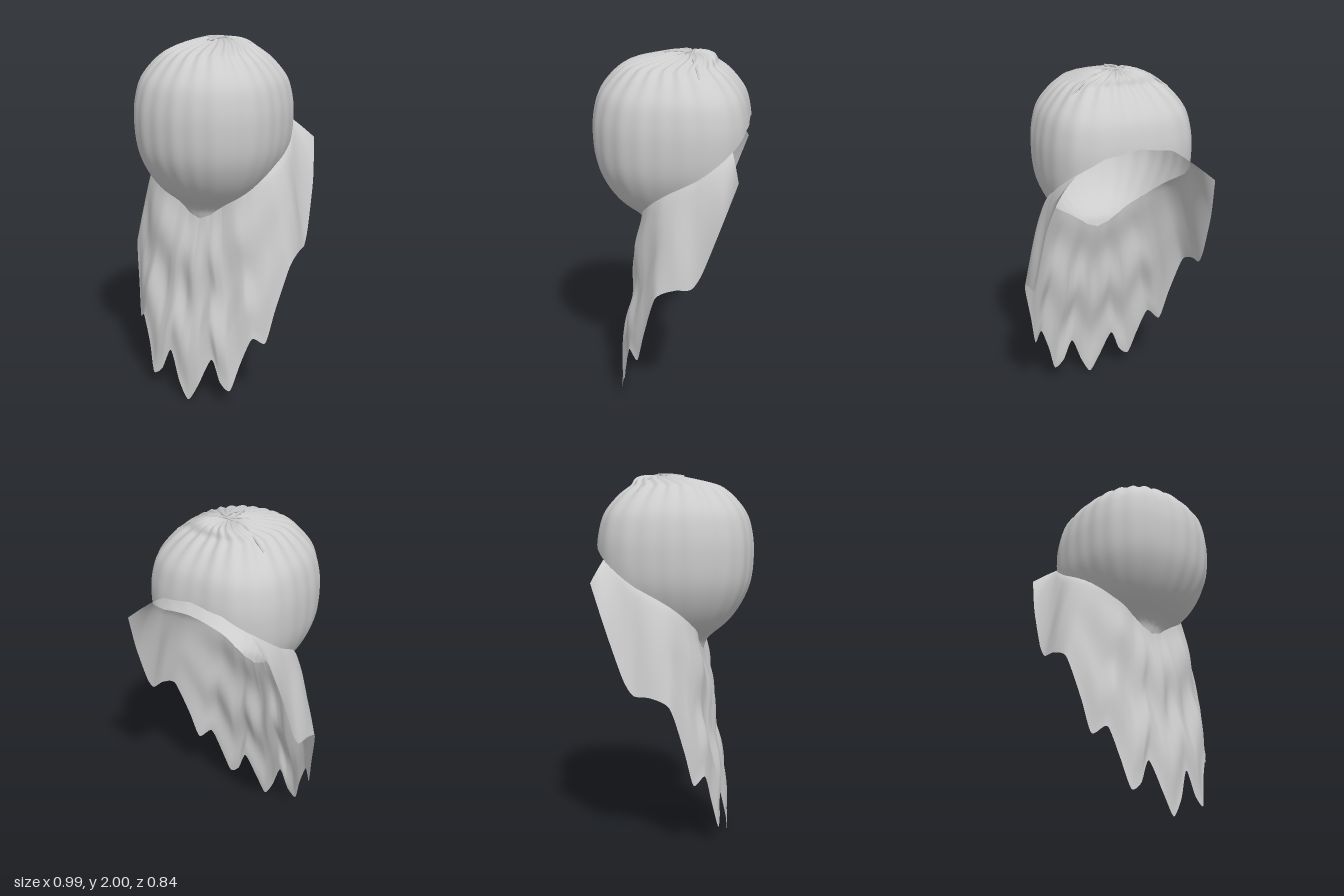
import * as THREE from 'three';

const V = (x, y, z) => new THREE.Vector3(x, y, z);
const { lerp, smoothstep } = THREE.MathUtils;
const rad = THREE.MathUtils.degToRad;

// Surface over a grid; fn(u, v) gives a point, u runs around and v runs down
function surface(nu, nv, closed, fn) {
  const pos = [], index = [];
  const cols = closed ? nu : nu + 1;
  for (let j = 0; j <= nv; j++) {
    for (let i = 0; i < cols; i++) pos.push(...fn(i / nu, j / nv).toArray());
  }
  for (let j = 0; j < nv; j++) {
    for (let i = 0; i < nu; i++) {
      const a = j * cols + i, b = j * cols + (i + 1) % cols;
      const c = a + cols, d = b + cols;
      index.push(a, c, b, b, c, d);
    }
  }
  const g = new THREE.BufferGeometry();
  g.setAttribute('position', new THREE.Float32BufferAttribute(pos, 3));
  g.setIndex(index);
  g.computeVertexNormals();
  return g;
}

// Crown profile: radius and height from the gathered top to the chin
const profile = new THREE.CatmullRomCurve3([
  [0.002, 1.986], [0.1, 1.98], [0.19, 1.952], [0.255, 1.917], [0.315, 1.868], [0.38, 1.785], [0.409, 1.69], [0.419, 1.58],
  [0.404, 1.42], [0.355, 1.3], [0.283, 1.2], [0.17, 1.1], [0.148, 1.04],
].map(([r, y]) => V(r, y, 0)));

// Height of the sloping opening by angle from the front, in degrees
const rimTable = [[0, 1.04], [25, 1.065], [45, 1.115], [68, 1.2], [90, 1.305], [114, 1.405], [135, 1.53], [155, 1.625], [180, 1.655]];
function rimHeight(a) {
  const d = Math.abs(a) * 180 / Math.PI;
  let k = 0;
  while (k < rimTable.length - 2 && d > rimTable[k + 1][0]) k++;
  const [d0, y0] = rimTable[k], [d1, y1] = rimTable[k + 1];
  return lerp(y0, y1, (d - d0) / (d1 - d0));
}

// Profile parameter at which the crown reaches the opening
function rimParam(a) {
  const y = rimHeight(a);
  let lo = 0, hi = 1;
  for (let i = 0; i < 24; i++) {
    const m = (lo + hi) / 2;
    if (profile.getPoint(m).y > y) lo = m; else hi = m;
  }
  return hi;
}

// Point on the pleated crown; v = 0 at the top, 1 at the opening
function crownPoint(a, v) {
  const p = profile.getPoint(v * rimParam(a));
  const back = Math.cos(a) < 0 ? 1 : 0.3;
  const square = 1 + 0.12 * back * Math.sin(2 * a) ** 2;
  const fade = Math.sin(Math.PI * Math.min(1, v * 0.85 + 0.06));
  const pleat = 1 + fade * (0.006 * Math.cos(24 * a) + 0.004 * Math.cos(11 * a));
  const r = p.x * square * pleat;
  const crease = 0.005 * smoothstep(p.y, 1.75, 1.95) * Math.cos(24 * a) * Math.min(1, p.x / 0.1);
  return V(r * Math.sin(a) * 0.955, p.y + crease, r * Math.cos(a) - 0.09 * smoothstep(p.y, 1.92, 1.99));
}

// Drape: opening angle paired with the point on the ragged hem, centre to back corner
const hem = [
  [0, 0, 0, 0.29], [12, 0.06, 0.1, 0.285], [24, 0.13, 0.265, 0.255], [35, 0.185, 0.14, 0.26], [42, 0.245, 0.1, 0.255],
  [50, 0.29, 0.26, 0.22], [57, 0.345, 0.41, 0.19], [64, 0.4, 0.375, 0.135], [74, 0.435, 0.56, 0.09],
  [86, 0.485, 0.8, 0.02], [98, 0.494, 0.855, -0.08], [110, 0.492, 0.865, -0.165], [119, 0.488, 0.95, -0.22],
  [129, 0.475, 1.2, -0.31], [138, 0.442, 1.43, -0.39],
];
const hemFull = [...hem.slice(1).reverse().map(([a, x, y, z]) => [-a, -x, y, z]), ...hem];
const hemCurve = new THREE.CatmullRomCurve3(hemFull.map(([, x, y, z]) => V(x, y, z)), false, 'catmullrom', 0.35);
const hemSpan = hemFull.length - 1;

function drapePoint(u, v) {
  const s = Math.min(u * hemSpan, hemSpan - 1e-6), k = Math.floor(s);
  const a = rad(lerp(hemFull[k][0], hemFull[k + 1][0], s - k));
  const top = crownPoint(a, 1), end = hemCurve.getPoint(u);
  const side = smoothstep(Math.abs(a), 0.9, 1.7);
  const edge = smoothstep(Math.abs(a), 1.9, 2.4);
  const flareX = Math.pow(v, lerp(1, 0.65, side) + 0.3 * edge);
  const flareZ = Math.pow(v, lerp(1, 0.8, side) + 0.2 * edge);
  const fold = 0.009 * Math.sin(Math.PI * v) * Math.cos(a * 11);
  const belly = 0.025 * Math.sin(2 * Math.PI * v) ** 2 * (1 - side);
  return V(
    lerp(top.x, end.x, flareX) + fold * Math.sin(a),
    lerp(top.y, end.y, v),
    lerp(top.z, end.z, flareZ) + fold * Math.cos(a) + belly,
  );
}

export function createModel() {
  const group = new THREE.Group();
  const cloth = new THREE.MeshStandardMaterial({ color: 0xcccccc, side: THREE.DoubleSide });
  cloth.name = 'pale grey cloth';
  const add = (name, geometry) => {
    const mesh = new THREE.Mesh(geometry, cloth);
    mesh.name = name;
    group.add(mesh);
  };

  // Pleated crown, open along its sloping lower back
  add('crown', surface(208, 44, true, (u, v) => crownPoint((u * 2 - 1) * Math.PI, v)));

  // Hanging cloth with a ragged hem
  add('drape', surface(hemSpan * 8, 30, false, drapePoint));

  // Gathered creases at the top
  const crease = (name, points, radius) =>
    add(name, new THREE.TubeGeometry(new THREE.CatmullRomCurve3(points), 12, radius, 5, false));
  for (const s of [-1, 1]) {
    crease('backGather', [V(0, 1.988, -0.11), V(s * 0.1, 1.976, -0.115), V(s * 0.18, 1.945, -0.145), V(s * 0.26, 1.89, -0.17)], 0.007);
    crease('sideGather', [V(0, 1.988, -0.1), V(s * 0.05, 1.988, -0.075), V(s * 0.09, 1.979, -0.045)], 0.007);
    crease('frontGather', [V(s * 0.02, 1.988, -0.1), V(s * 0.018, 1.988, -0.03), V(0, 1.98, 0.04)], 0.008);
  }
  return group;
}
